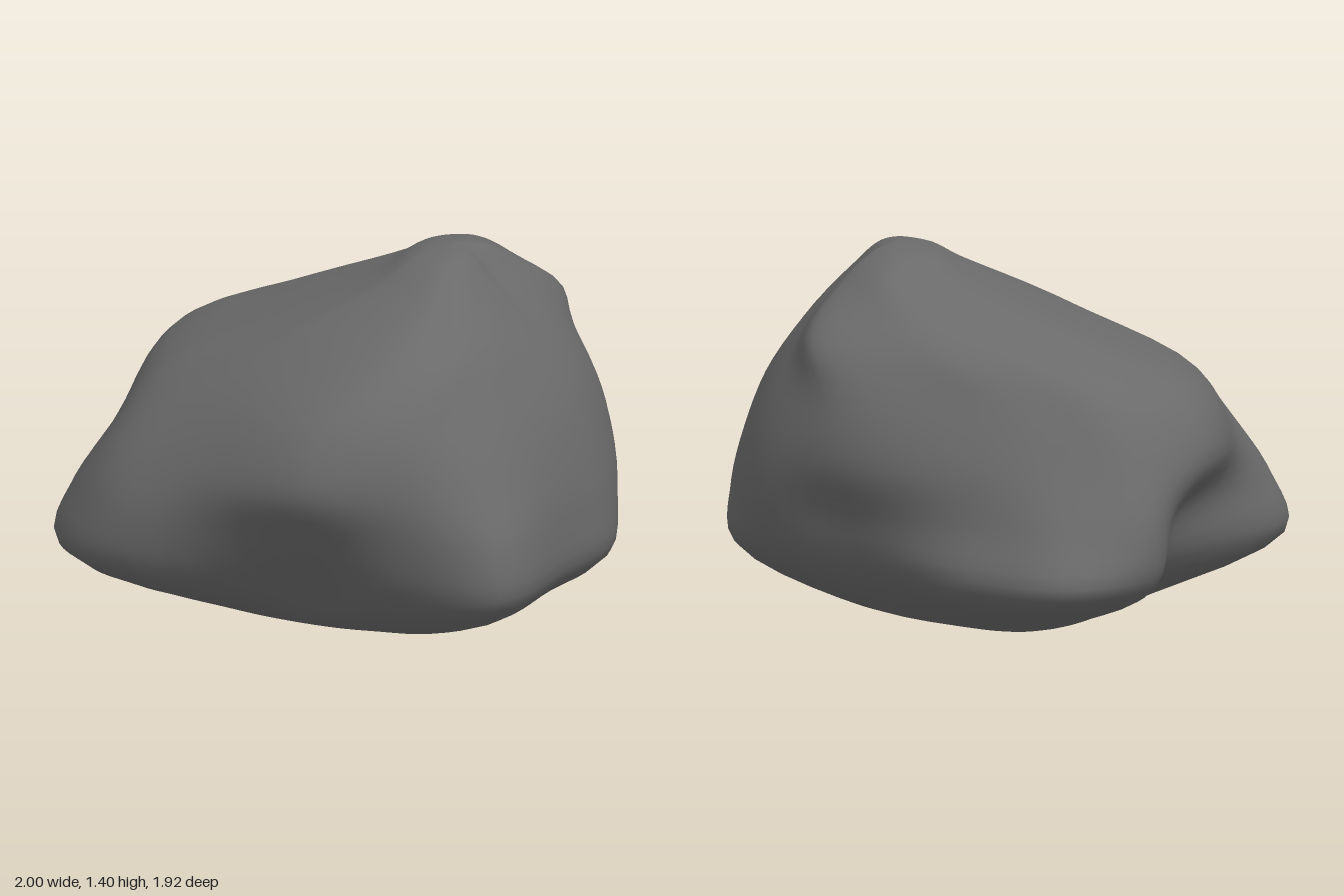
import * as THREE from 'three';
import { mergeVertices } from 'three/addons/utils/BufferGeometryUtils.js';

// Directions of the main ridges and hollows, in degrees from +x towards +z
const ANGLES = [0, 22, 46, 66, 87, 128, 146, 164, 205, 232, 253, 275, 312, 336];

// Horizontal slices: radius along each direction at a given height
const SLICES = [
  { y: 0.1, r: [.62, .63, .72, .6, .53, .55, .57, .56, .43, .5, .52, .48, .45, .52] },
  { y: 0.3, r: [.98, .98, 1.12, .85, .7, .93, 1.04, 1.03, .66, .93, 1, .83, .69, .84] },
  { y: 0.5, r: [.985, .99, 1.12, .94, .85, .95, 1, .97, .72, .96, .91, .77, .76, .93] },
  { y: 0.7, r: [.94, .95, 1.03, .98, .96, .86, .89, .84, .87, .89, .79, .73, .84, .93] },
  { y: 0.92, r: [.83, .84, .89, .92, .88, .69, .69, .71, .8, .76, .67, .65, .81, .84] },
  { y: 1.12, r: [.465, .49, .57, .66, .69, .57, .54, .53, .58, .58, .56, .56, .62, .51] },
  { y: 1.3, r: [.15, .17, .22, .3, .35, .3, .27, .25, .26, .3, .33, .35, .27, .18] },
];
const ROWS = 44, COLS = 84;

// The rock leans towards +x as it rises to its crest
const lean = y => 0.38 * THREE.MathUtils.smoothstep(y, 0.85, 1.3);

// One smooth rib per direction, running from the underside to the crest
function makeRib(degrees, k) {
  const a = THREE.MathUtils.degToRad(degrees);
  const at = (y, r) => new THREE.Vector3(lean(y) + r * Math.cos(a), y, r * Math.sin(a));
  return new THREE.CatmullRomCurve3([
    new THREE.Vector3(0.1, 0, 0),
    at(0.025, SLICES[0].r[k] / 2),
    ...SLICES.map(s => at(s.y, s.r[k])),
    at(1.375, SLICES[SLICES.length - 1].r[k] / 2),
    new THREE.Vector3(0.39, 1.4, 0),
  ]);
}

function rockGeometry() {
  const ribs = ANGLES.map(makeRib);
  const positions = [], index = [];

  // Closed smooth loops through the ribs
  for (let j = 0; j <= ROWS; j++) {
    const loop = new THREE.CatmullRomCurve3(ribs.map(rib => rib.getPoint(j / ROWS)), true);
    for (let i = 0; i < COLS; i++) positions.push(...loop.getPoint(i / COLS).toArray());
  }

  // Skin between loops, closing to a point at both ends
  for (let j = 0; j < ROWS; j++) {
    for (let i = 0; i < COLS; i++) {
      const a = j * COLS + i, b = j * COLS + (i + 1) % COLS;
      if (j > 0) index.push(a, a + COLS, b);
      if (j < ROWS - 1) index.push(b, a + COLS, b + COLS);
    }
  }
  const skin = new THREE.BufferGeometry();
  skin.setAttribute('position', new THREE.Float32BufferAttribute(positions, 3));
  skin.setIndex(index);
  const geometry = mergeVertices(skin);
  geometry.computeVertexNormals();
  return geometry;
}

export function createModel() {
  const stone = new THREE.MeshStandardMaterial({ color: 0x6a6a6a });
  stone.name = 'grey stone';
  const boulder = new THREE.Mesh(rockGeometry(), stone);
  boulder.name = 'boulder';
  const group = new THREE.Group();
  group.name = 'rock';
  group.add(boulder);
  return group;
}
